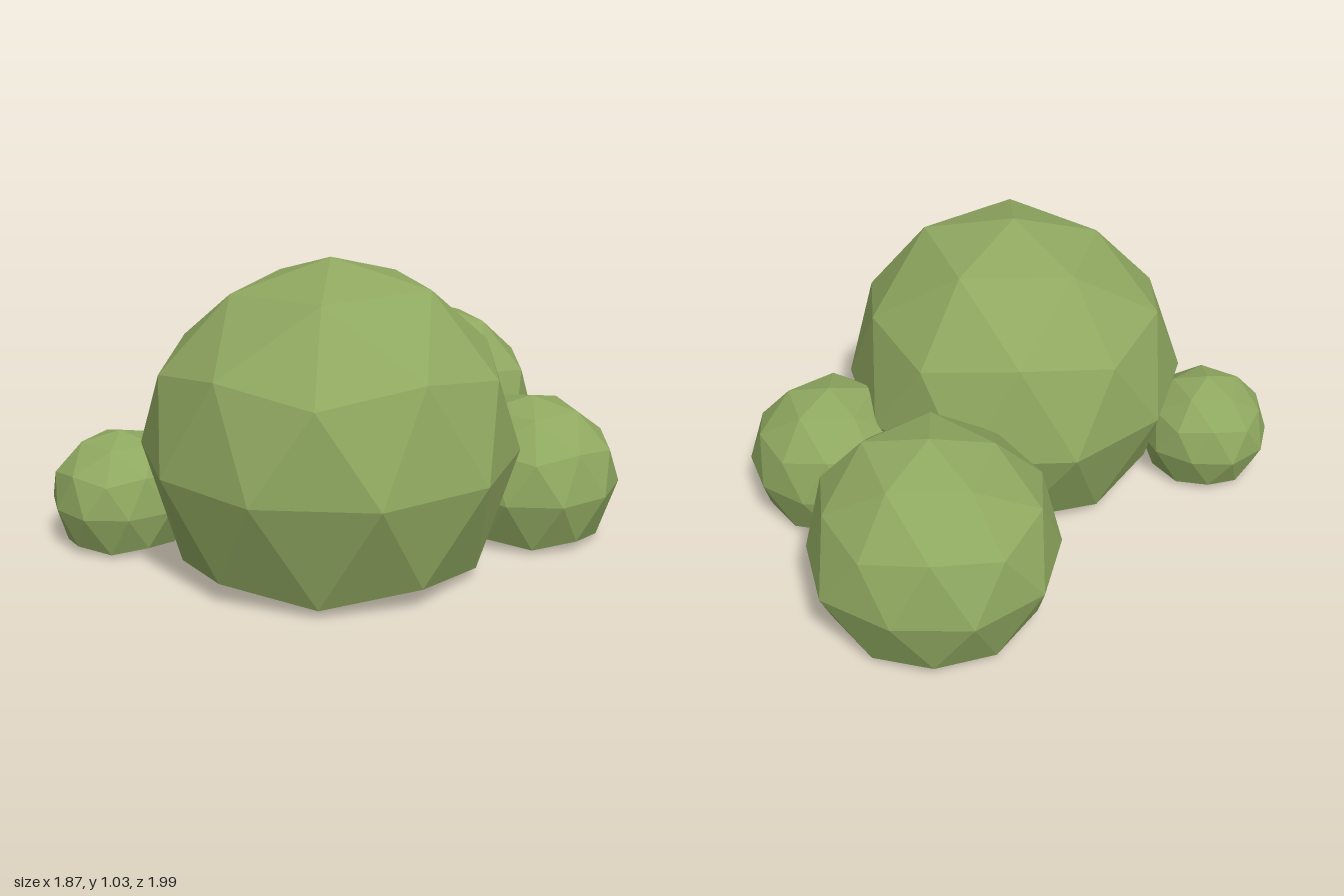
import * as THREE from 'three';
import { mergeVertices } from 'three/addons/utils/BufferGeometryUtils.js';

// Small seeded generator for the uneven facets
function seeded(seed) {
  let s = seed;
  return () => (s = (s * 16807) % 2147483647) / 2147483647;
}

// Low-poly sphere with a vertex at the top, slightly uneven, flattened underneath
function bushGeometry(radius, seed) {
  const rand = seeded(seed);
  let geo = new THREE.IcosahedronGeometry(1, 1);
  geo.deleteAttribute('uv');
  geo.deleteAttribute('normal');
  geo = mergeVertices(geo, 1e-3);
  geo.rotateZ(Math.atan(2 / (1 + Math.sqrt(5))));
  geo.rotateY(THREE.MathUtils.degToRad(34));
  const p = geo.attributes.position;
  const floor = -0.61;
  const v = new THREE.Vector3();
  for (let i = 0; i < p.count; i++) {
    v.fromBufferAttribute(p, i);
    const low = v.y < -0.3;
    if (low) {
      // tuck the lower rings in and press the base almost flat
      const base = floor + (v.y + 1) * 0.1;
      v.set(v.x * 0.94, Math.max(v.y * 1.1, base), v.z * 0.94);
    } else if (v.y < 0.99) {
      v.multiplyScalar(1 + (rand() - 0.5) * 0.05);
    }
    p.setXYZ(i, v.x * radius, (v.y - floor) * radius, v.z * radius);
  }
  geo = geo.toNonIndexed();
  geo.computeVertexNormals();
  return geo;
}

export function createModel() {
  const group = new THREE.Group();
  group.name = 'bushCluster';
  const leaf = new THREE.MeshStandardMaterial({ color: 0x8fa860, flatShading: true });

  // name, x, z, radius
  const bushes = [
    ['largeBush', 0.05, 0.36, 0.64],
    ['backBush', 0.1, -0.57, 0.437],
    ['leftBush', 0.63, -0.1, 0.31],
    ['smallRightBush', -0.695, 0.465, 0.247],
  ];
  bushes.forEach(([name, x, z, radius], i) => {
    const mesh = new THREE.Mesh(bushGeometry(radius, 101 + i * 977), leaf);
    mesh.name = name;
    mesh.position.set(x, 0, z);
    group.add(mesh);
  });
  return group;
}
